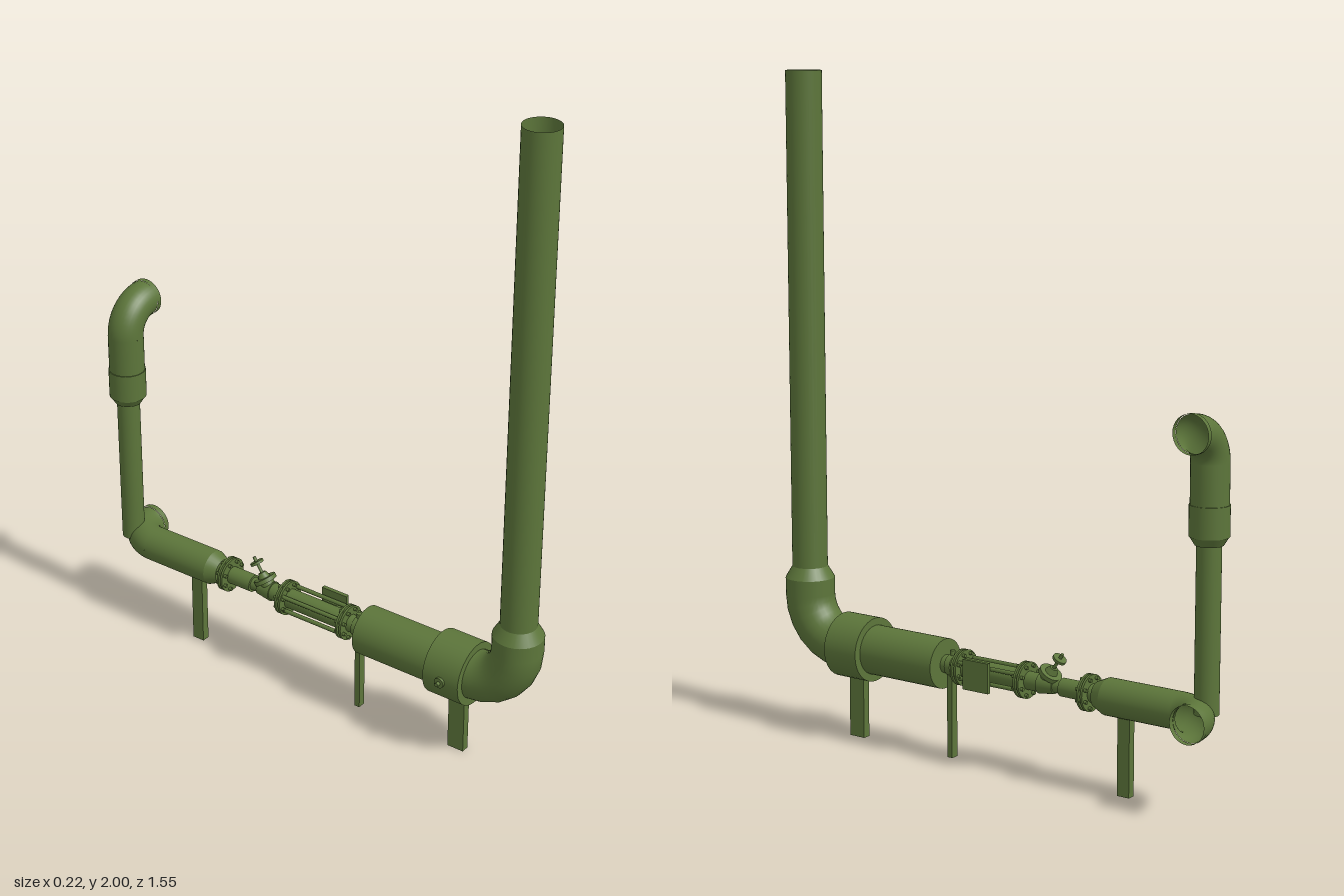
import * as THREE from 'three';

const material = new THREE.MeshStandardMaterial({ color: 0x5c753a, side: THREE.DoubleSide });
const V = (x, y, z) => new THREE.Vector3(x, y, z);
const AXIS = 0.28; // height of the horizontal run

// Circular arc: starts at centre + a * radius and ends at centre + b * radius
class Bend extends THREE.Curve {
  constructor(centre, a, b, radius) {
    super();
    Object.assign(this, { centre, a, b, radius });
  }
  getPoint(t, target = new THREE.Vector3()) {
    const q = t * Math.PI / 2;
    return target.copy(this.centre)
      .addScaledVector(this.a, Math.cos(q) * this.radius)
      .addScaledVector(this.b, Math.sin(q) * this.radius);
  }
}

export function createModel() {
  const model = new THREE.Group();
  model.name = 'pipeAssembly';

  const add = (name, geometry, parent = model) => {
    const mesh = new THREE.Mesh(geometry, material);
    mesh.name = name;
    parent.add(mesh);
    return mesh;
  };
  // Straight pipe or cone between two points
  const pipe = (name, from, to, r0, r1 = r0, open = false, parent = model, sides = 32) => {
    const dir = to.clone().sub(from);
    const mesh = add(name, new THREE.CylinderGeometry(r1, r0, dir.length(), sides, 1, open), parent);
    mesh.position.copy(from).add(to).multiplyScalar(0.5);
    mesh.quaternion.setFromUnitVectors(V(0, 1, 0), dir.normalize());
    return mesh;
  };
  // Pipe along the horizontal run
  const run = (name, z0, z1, r0, r1 = r0, open = false, parent = model) =>
    pipe(name, V(0, AXIS, z0), V(0, AXIS, z1), r0, r1, open, parent);
  const elbow = (name, centre, a, b, radius, r, steps = 12) =>
    add(name, new THREE.TubeGeometry(new Bend(centre, a, b, radius), steps, r, 32));
  const box = (name, w, h, d, x, y, z, parent = model) =>
    add(name, new THREE.BoxGeometry(w, h, d), parent).position.set(x, y, z);

  // Tall front stack with reducer and large elbow
  pipe('tallPipe', V(0, 0.5, 0.7), V(0, 2, 0.7), 0.054, 0.054, true);
  pipe('stackReducer', V(0, 0.47, 0.7), V(0, 0.505, 0.7), 0.075, 0.054, true);
  pipe('stackSocket', V(0, 0.42, 0.7), V(0, 0.47, 0.7), 0.075, 0.075, true);
  elbow('largeElbow', V(0, 0.42, 0.56), V(0, 0, 1), V(0, -1, 0), 0.14, 0.075, 6);

  // Wide horizontal pipe with sleeve and side plug
  run('widePipe', 0.56, 0.18, 0.075);
  run('sleeve', 0.565, 0.445, 0.0975);
  pipe('plugBase', V(-0.09, AXIS, 0.505), V(-0.104, AXIS, 0.505), 0.016);
  pipe('plugStem', V(-0.1, AXIS, 0.505), V(-0.116, AXIS, 0.505), 0.006);

  // Narrow pipe with a small nozzle
  run('narrowPipe', 0.18, 0.1, 0.027);
  pipe('nozzle', V(0, AXIS, 0.153), V(0, 0.325, 0.153), 0.008);
  run('nozzleRing', 0.163, 0.143, 0.031);

  // Bolted flange pairs
  for (const z of [0.113, -0.112, -0.332]) {
    const flange = new THREE.Group();
    flange.name = 'flangePair';
    model.add(flange);
    for (const s of [-1, 1])
      run('flangeDisc', z + s * 0.003, z + s * 0.01, 0.054, 0.054, false, flange);
    run('gasket', z - 0.004, z + 0.004, 0.036, 0.036, false, flange);
    for (let i = 0; i < 8; i++) {
      const q = (i + 0.5) * Math.PI / 4;
      const x = 0.044 * Math.cos(q), y = AXIS + 0.044 * Math.sin(q);
      pipe('bolt', V(x, y, z - 0.019), V(x, y, z + 0.019), 0.0055, 0.0055, false, flange, 6);
    }
  }

  // Meter body between the flanges, with tie rods and side plate
  const meter = new THREE.Group();
  meter.name = 'meter';
  model.add(meter);
  run('meterBody', 0.103, -0.102, 0.03, 0.03, false, meter);
  for (const sx of [-1, 1]) for (const sy of [-1, 1]) {
    const x = sx * 0.036, y = AXIS + sy * 0.023;
    pipe('tieRod', V(x, y, 0.103), V(x, y, -0.102), 0.0065, 0.0065, false, meter, 10);
  }
  box('plateMount', 0.03, 0.04, 0.05, 0.04, AXIS, 0.025, meter);
  box('sidePlate', 0.012, 0.09, 0.09, 0.056, AXIS, 0.025, meter);

  // Slanted-stem valve
  const valve = new THREE.Group();
  valve.name = 'valve';
  model.add(valve);
  const stem = V(0, 0.83, -0.55).normalize();
  const along = d => V(0, AXIS, -0.175).addScaledVector(stem, d);
  run('valveInlet', -0.12, -0.175, 0.027, 0.027, false, valve);
  run('valveBody', -0.165, -0.215, 0.031, 0.024, false, valve);
  run('valveOutlet', -0.21, -0.245, 0.02, 0.02, false, valve);
  pipe('valveNeck', along(0), along(0.034), 0.022, 0.022, false, valve);
  pipe('bonnetFlange', along(0.032), along(0.045), 0.035, 0.035, false, valve);
  pipe('bonnet', along(0.045), along(0.062), 0.019, 0.012, false, valve);
  pipe('valveStem', along(0.06), along(0.115), 0.005, 0.005, false, valve, 12);
  pipe('valveHandle', along(0.092), along(0.1), 0.021, 0.021, false, valve);

  // Back run: small pipe, reducer, large pipe and sideways elbow
  run('linkPipe', -0.24, -0.37, 0.027);
  run('backReducer', -0.36, -0.395, 0.038, 0.054);
  run('backPipe', -0.395, -0.63, 0.054, 0.054, true);
  elbow('lowerElbow', V(0.09, AXIS, -0.63), V(-1, 0, 0), V(0, 0, -1), 0.09, 0.054);
  pipe('lowerOutlet', V(0.09, AXIS, -0.72), V(0.108, AXIS, -0.72), 0.055, 0.055, true);

  // Back riser with coupling and outlet elbow
  const z = -0.717;
  pipe('riser', V(0, 0.285, z), V(0, 0.77, z), 0.035);
  pipe('riserReducer', V(0, 0.758, z), V(0, 0.782, z), 0.04, 0.055);
  pipe('coupling', V(0, 0.782, z), V(0, 0.87, z), 0.0565);
  pipe('upperPipe', V(0, 0.87, z), V(0, 0.984, z), 0.054, 0.054, true);
  elbow('upperElbow', V(0.09, 0.984, z), V(-1, 0, 0), V(0, 1, 0), 0.09, 0.054);
  pipe('upperOutlet', V(0.088, 1.074, z), V(0.104, 1.074, z), 0.056, 0.056, true);

  // Support legs: z, depth, height
  for (const [lz, depth, height] of [[0.51, 0.054, 0.2], [0.156, 0.018, 0.26], [-0.455, 0.04, 0.235]])
    box('supportLeg', 0.025, height, depth, 0, height / 2, lz);

  return model;
}
